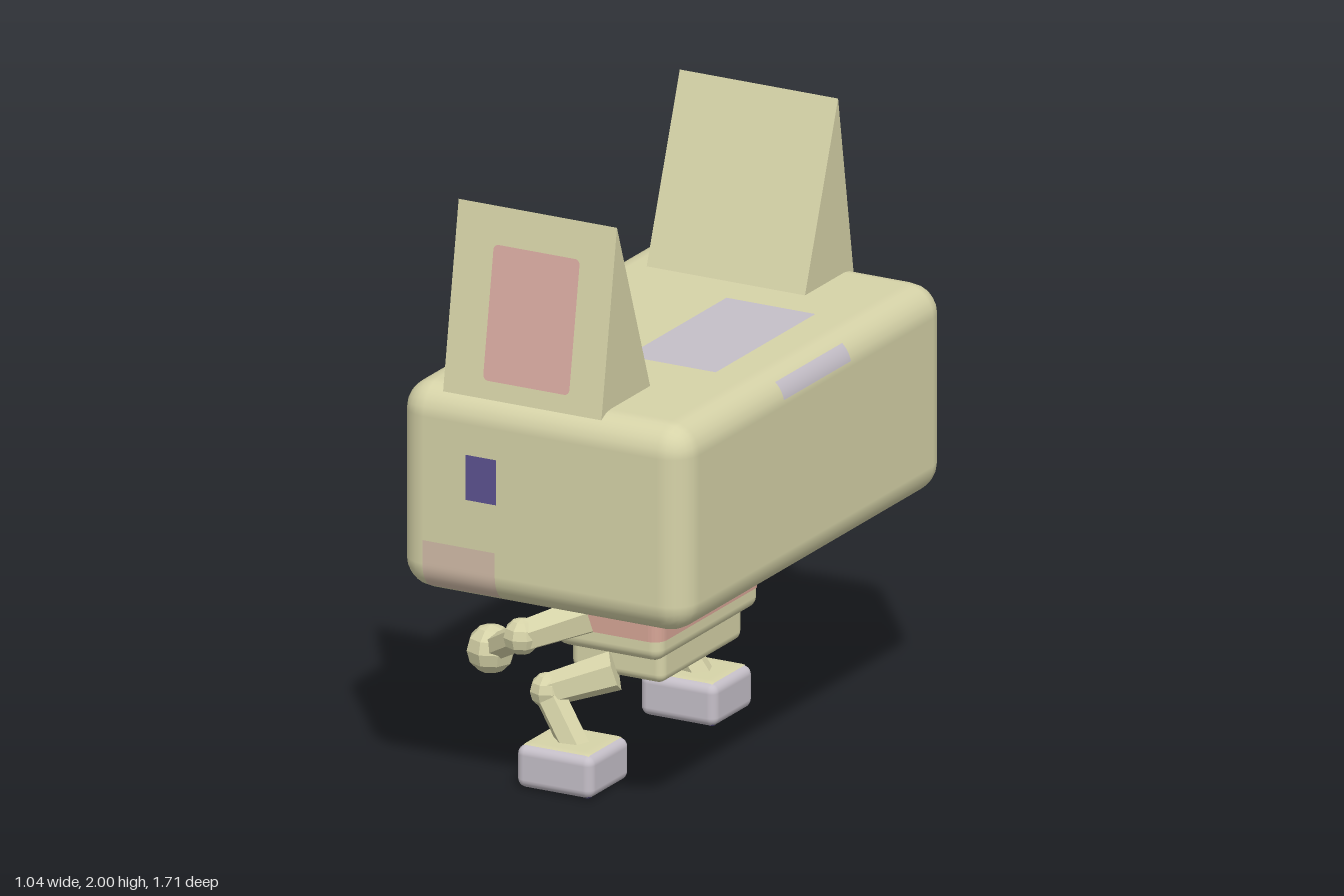
import * as THREE from 'three';
import { RoundedBoxGeometry } from 'three/addons/geometries/RoundedBoxGeometry.js';

const mat = (name, color) => new THREE.MeshStandardMaterial({ name, color });
const M = {
  cream: mat('cream', 0xd6d3a8),
  pink: mat('earPink', 0xd8aaa0),
  blush: mat('blush', 0xd2bca8),
  purple: mat('purple', 0x5d5290),
  lilac: mat('lilac', 0xc5bfc8),
  peach: mat('peach', 0xd4bca8),
  salmon: mat('salmon', 0xd6a596),
};

function add(parent, name, geo, material, x = 0, y = 0, z = 0) {
  const m = new THREE.Mesh(geo, material);
  m.name = name;
  m.position.set(x, y, z);
  parent.add(m);
  return m;
}

function flat(geo) {
  const g = geo.index ? geo.toNonIndexed() : geo;
  g.computeVertexNormals();
  return g;
}

function roundRect(w, h, r) {
  const s = new THREE.Shape(), a = w / 2, b = h / 2;
  s.moveTo(-a + r, -b);
  s.lineTo(a - r, -b).absarc(a - r, -b + r, r, -Math.PI / 2, 0);
  s.lineTo(a, b - r).absarc(a - r, b - r, r, 0, Math.PI / 2);
  s.lineTo(-a + r, b).absarc(-a + r, b - r, r, Math.PI / 2, Math.PI);
  s.lineTo(-a, -b + r).absarc(-a + r, -b + r, r, Math.PI, Math.PI * 1.5);
  return s;
}

// Painted patch that hugs one face of a rounded box, including its bevels
const FACES = {
  front: [0, 0], back: [0, Math.PI], left: [0, Math.PI / 2], right: [0, -Math.PI / 2],
  top: [-Math.PI / 2, 0], bottom: [Math.PI / 2, 0],
};
function patch(parent, name, [w, h, d, r], face, u0, u1, v0, v1, material) {
  const [W, H, D] = face === 'top' || face === 'bottom' ? [w, d, h]
    : face === 'left' || face === 'right' ? [d, h, w] : [w, h, d];
  const g = new THREE.PlaneGeometry(u1 - u0, v1 - v0, 16, 16);
  g.translate((u0 + u1) / 2, (v0 + v1) / 2, 0);
  const p = g.attributes.position;
  for (let i = 0; i < p.count; i++) {
    const du = Math.max(Math.abs(p.getX(i)) - (W / 2 - r), 0);
    const dv = Math.max(Math.abs(p.getY(i)) - (H / 2 - r), 0);
    p.setZ(i, D / 2 - r + Math.sqrt(Math.max(r * r - du * du - dv * dv, 0)) + 0.003);
  }
  g.computeVertexNormals();
  const m = add(parent, name, g, material);
  m.rotation.set(FACES[face][0], FACES[face][1], 0);
}

function rod(parent, name, a, b, r0, r1) {
  const A = new THREE.Vector3(...a), B = new THREE.Vector3(...b);
  const dir = B.clone().sub(A);
  const m = add(parent, name, flat(new THREE.CylinderGeometry(r1, r0, dir.length(), 6)), M.cream);
  m.position.copy(A).add(B).multiplyScalar(0.5);
  m.quaternion.setFromUnitVectors(new THREE.Vector3(0, 1, 0), dir.normalize());
}

function ball(parent, name, p, r) {
  add(parent, name, flat(new THREE.SphereGeometry(r, 8, 6)), M.cream, ...p);
}

function makeHead() {
  const head = new THREE.Group();
  head.name = 'head';
  head.position.y = 1.065;
  const box = [1.04, 0.69, 1.7, 0.1];
  add(head, 'skull', new RoundedBoxGeometry(1.04, 0.69, 1.7, 3, 0.1), M.cream);
  // Outer side markings
  patch(head, 'sideEye', box, 'front', -0.265, -0.155, -0.005, 0.145, M.purple);
  patch(head, 'sideEye', box, 'back', 0.155, 0.265, -0.005, 0.145, M.purple);
  patch(head, 'sideCheek', box, 'front', -0.42, -0.16, -0.325, -0.165, M.blush);
  patch(head, 'sideCheek', box, 'back', 0.16, 0.42, -0.325, -0.165, M.blush);
  // Face on the -x side
  for (const s of [-1, 1]) {
    const c = s * 0.47;
    patch(head, 'faceEye', box, 'right', c - 0.115, c + 0.115, -0.065, 0.055, M.purple);
    patch(head, 'faceCheek', box, 'right', c - 0.115, c + 0.115, -0.325, -0.22, M.blush);
  }
  // Crown patches
  patch(head, 'crownPatch', box, 'top', 0, 0.32, -0.29, 0.35, M.lilac);
  patch(head, 'edgePatch', box, 'left', -0.21, 0.22, 0.265, 0.32, M.lilac);
  return head;
}

// Wedge extruded along x, its outline given as (z, y) points
function wedge(points, s, depth) {
  const shape = new THREE.Shape(points.map(([z, y]) => new THREE.Vector2(-z * s, y)));
  return new THREE.ExtrudeGeometry(shape, { depth, bevelEnabled: false }).rotateY(Math.PI / 2);
}

function makeEar(s) {
  const ear = new THREE.Group();
  ear.name = s > 0 ? 'frontEar' : 'backEar';
  add(ear, 'earWedge', wedge([[0.81, 1.39], [0.49, 1.39], [0.71, 2]], s, 0.57), M.cream, -0.37);
  add(ear, 'earEndPanel', wedge([[0.78, 1.43], [0.56, 1.43], [0.712, 1.86]], s, 0.004), M.pink, -0.374);
  const panel = add(ear, 'earPanel', new THREE.ShapeGeometry(roundRect(0.31, 0.436, 0.018)), M.pink,
    -0.075, 1.665, s * 0.769);
  panel.rotation.order = 'YXZ';
  panel.rotation.set(-Math.atan2(0.1, 0.61), s > 0 ? 0 : Math.PI, 0);
  return ear;
}

function makeBody() {
  const body = new THREE.Group();
  body.name = 'body';
  const cx = -0.055;
  add(body, 'torso', new RoundedBoxGeometry(0.385, 0.36, 0.65, 3, 0.04), M.cream, cx, 0.6, 0);
  add(body, 'pelvis', new RoundedBoxGeometry(0.335, 0.15, 0.52, 3, 0.03), M.cream, cx, 0.402, 0);
  // Shirt stripes wrapped round the torso
  const band = (name, y0, y1, material) => {
    const g = new THREE.ExtrudeGeometry(roundRect(0.391, 0.656, 0.043),
      { depth: y1 - y0, bevelEnabled: false, curveSegments: 3 });
    add(body, name, g.rotateX(-Math.PI / 2), material, cx, y0, 0);
  };
  band('collarStripe', 0.655, 0.735, M.purple);
  band('peachStripe', 0.598, 0.655, M.peach);
  band('lilacStripe', 0.545, 0.598, M.lilac);
  band('salmonStripe', 0.49, 0.545, M.salmon);
  // Dark chest panel on the -x side
  add(body, 'chestPanel', new RoundedBoxGeometry(0.03, 0.12, 0.662, 2, 0.012), M.purple, -0.24, 0.635, 0);
  return body;
}

function makeLimbs(s) {
  const limbs = new THREE.Group();
  const P = (x, y, z) => [x, y, z * s];
  limbs.name = s > 0 ? 'frontLimbs' : 'backLimbs';
  // Arm
  const elbow = P(-0.255, 0.505, 0.51), hand = P(-0.43, 0.4, 0.395);
  rod(limbs, 'upperArm', P(-0.09, 0.567, 0.385), elbow, 0.066, 0.054);
  ball(limbs, 'elbow', elbow, 0.06);
  rod(limbs, 'forearm', elbow, hand, 0.045, 0.042);
  ball(limbs, 'hand', hand, 0.08);
  // Leg
  const knee = P(-0.235, 0.29, 0.38);
  rod(limbs, 'thigh', P(-0.045, 0.358, 0.285), knee, 0.066, 0.054);
  ball(limbs, 'knee', knee, 0.058);
  rod(limbs, 'shin', knee, P(-0.11, 0.1, 0.4), 0.05, 0.05);
  // Foot with cream top and dark sole
  const foot = new THREE.Group();
  foot.name = 'foot';
  foot.position.set(-0.135, 0.073, s * 0.397);
  const box = [0.275, 0.14, 0.255, 0.03];
  add(foot, 'shoe', new RoundedBoxGeometry(0.275, 0.14, 0.255, 3, 0.03), M.lilac);
  patch(foot, 'shoeTop', box, 'top', -0.118, 0.118, -0.108, 0.108, M.cream);
  patch(foot, 'sole', box, 'bottom', -0.125, 0.125, -0.115, 0.115, M.purple);
  limbs.add(foot);
  return limbs;
}

export function createModel() {
  const model = new THREE.Group();
  model.name = 'blockCreature';
  model.add(makeHead(), makeBody());
  for (const s of [1, -1]) model.add(makeEar(s), makeLimbs(s));
  return model;
}
